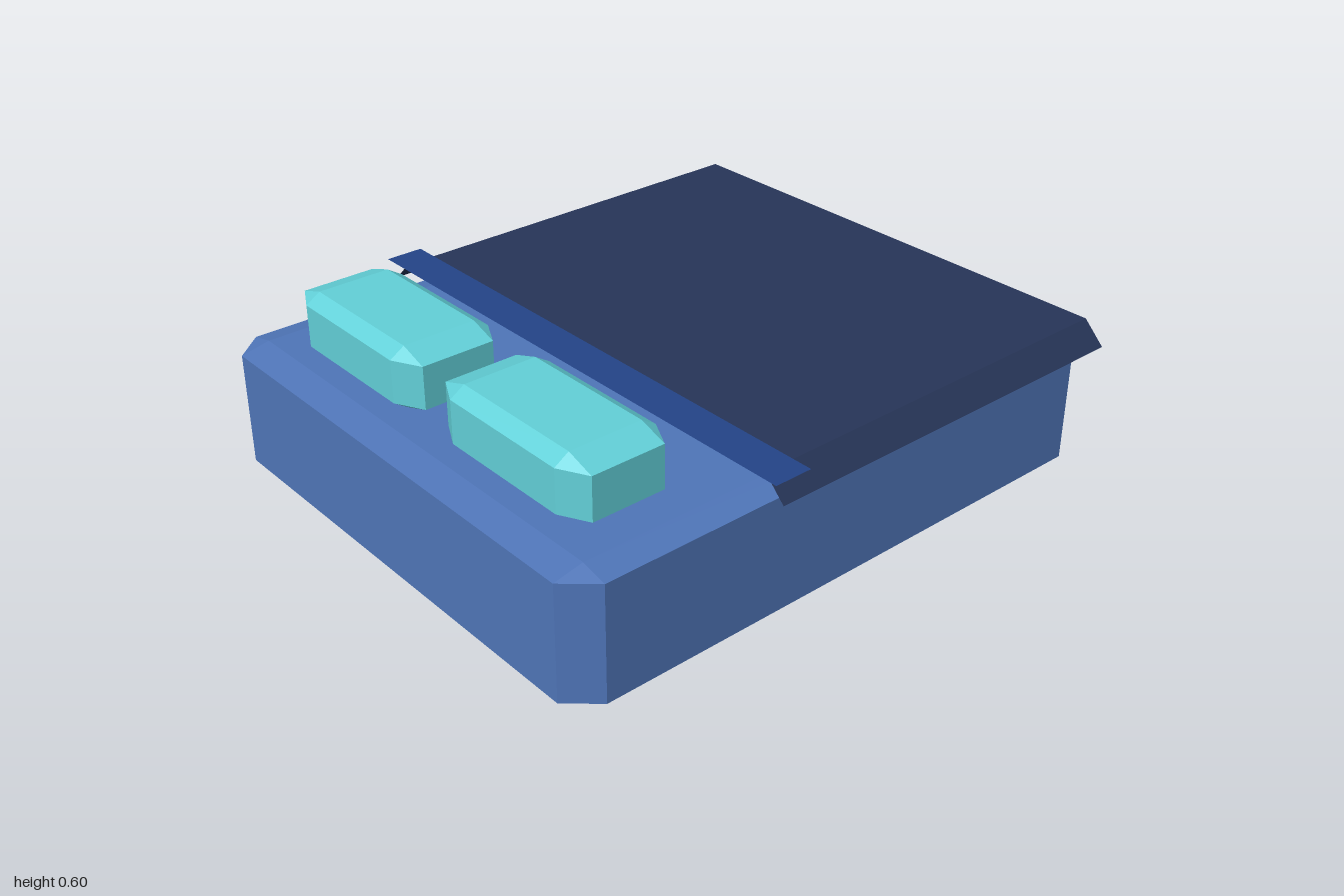
import * as THREE from 'three';
import { ConvexGeometry } from 'three/addons/geometries/ConvexGeometry.js';

const material = (color, side = THREE.FrontSide) =>
  new THREE.MeshStandardMaterial({ color, side, flatShading: true });

// Box with every edge chamfered; half sizes h, chamfer insets c (both [x, y, z])
function chamferedBox(h, c) {
  const points = [];
  for (const sx of [-1, 1]) for (const sy of [-1, 1]) for (const sz of [-1, 1]) {
    for (let face = 0; face < 3; face++) {
      // each corner has one point on each of its three faces
      const p = h.map((v, i) => (i === face ? v : v - c[i]));
      points.push(new THREE.Vector3(sx * p[0], sy * p[1], sz * p[2]));
    }
  }
  return new ConvexGeometry(points);
}

// Thin sheet: an (x, y) section running left to right, swept from zBack to zFront
function sheet(section, zBack, zFront) {
  const positions = [], index = [];
  section.forEach(([x, y], i) => {
    positions.push(x, y, zBack, x, y, zFront);
    if (i) {
      const a = 2 * (i - 1);
      index.push(a, a + 1, a + 3, a, a + 3, a + 2);
    }
  });
  const geometry = new THREE.BufferGeometry();
  geometry.setAttribute('position', new THREE.Float32BufferAttribute(positions, 3));
  geometry.setIndex(index);
  geometry.computeVertexNormals();
  return geometry;
}

export function createModel() {
  const bed = new THREE.Group();
  bed.name = 'bed';

  const add = (name, geometry, mat, x = 0, y = 0, z = 0) => {
    const mesh = new THREE.Mesh(geometry, mat);
    mesh.name = name;
    mesh.position.set(x, y, z);
    bed.add(mesh);
  };

  // Mattress
  add('mattress', chamferedBox([0.848, 0.203, 1], [0.083, 0.02, 0.093]), material(0x4f75b8), 0, 0.203, 0);

  // Pair of pillows at the front end
  const pillow = chamferedBox([0.315, 0.098, 0.165], [0.09, 0.03, 0.047]);
  const pillowMaterial = material(0x62d0d8);
  add('rightPillow', pillow, pillowMaterial, -0.375, 0.502, 0.69);
  add('leftPillow', pillow, pillowMaterial, 0.365, 0.502, 0.69);

  // Blanket with sloping side flaps
  const drape = [[-0.9, 0.4], [-0.83, 0.47], [0.83, 0.47], [0.9, 0.4]];
  add('blanket', sheet(drape, -0.98, 0.36), material(0x273558, THREE.DoubleSide));

  // Flat turned-down strip over the blanket's front edge
  add('blanketFold', sheet([[-0.9, 0.474], [0.9, 0.474]], 0.265, 0.39), material(0x234488, THREE.DoubleSide));

  return bed;
}
